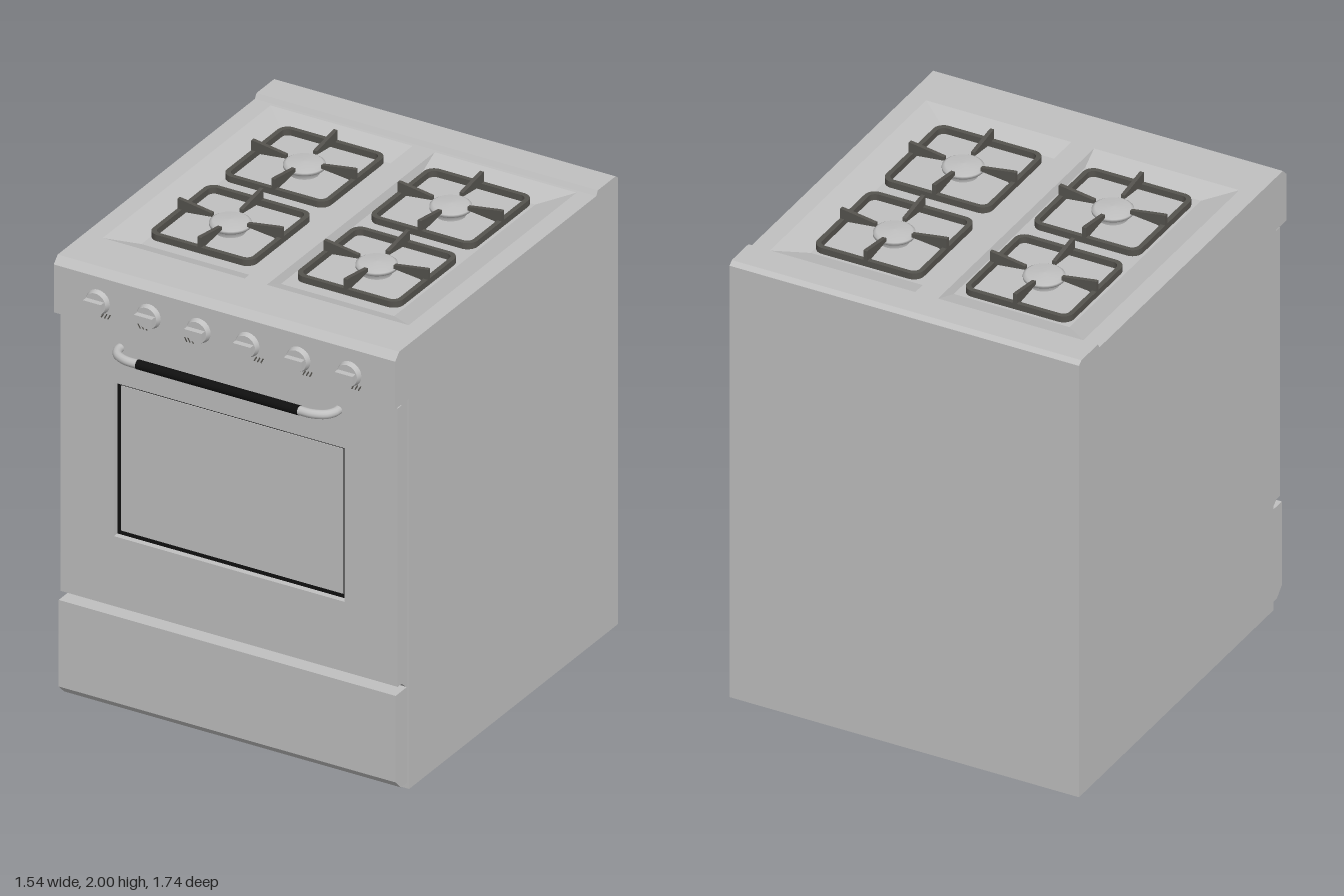
import * as THREE from 'three';

const mat = (name, color) => Object.assign(new THREE.MeshStandardMaterial({ color }), { name });

export function createModel() {
  const steel = mat('steel', 0xc0c0c0);
  const iron = mat('cast iron', 0x55534e);
  const black = mat('black', 0x101010);
  const root = new THREE.Group();
  root.name = 'stove';

  const add = (name, geo, material, x = 0, y = 0, z = 0, parent = root) => {
    const m = new THREE.Mesh(geo, material);
    m.name = name;
    m.position.set(x, y, z);
    parent.add(m);
    return m;
  };
  const shapeOf = pts => new THREE.Shape(pts.map(p => new THREE.Vector2(...p)));
  const rect = (x0, y0, x1, y1) => shapeOf([[x0, y0], [x1, y0], [x1, y1], [x0, y1]]);
  const extrude = (shape, depth) =>
    new THREE.ExtrudeGeometry(shape, { depth, bevelEnabled: false, curveSegments: 5 });
  // Side profile in (z, y), swept across the width
  const prism = (pts, width) =>
    extrude(shapeOf(pts), width).translate(0, 0, -width / 2).rotateY(-Math.PI / 2);
  // Plan shape in (x, z), hanging down from y = 0
  const slab = (shape, depth) => extrude(shape, depth).rotateX(Math.PI / 2);

  // Cabinet with overhanging control panel
  add('cabinet', prism([[-0.87, 0], [0.7, 0], [0.7, 1.715], [0.805, 1.715], [0.805, 1.915], [-0.87, 1.915]], 1.54), steel);
  add('frontEdge', prism([[0.58, 1.915], [0.805, 1.915], [0.805, 1.925], [0.775, 1.955], [0.58, 1.955]], 1.54), steel);
  add('backLedge', prism([[-0.87, 1.915], [-0.705, 1.915], [-0.705, 1.955], [-0.717, 1.975], [-0.85, 1.975], [-0.87, 1.96]], 1.54), steel);

  // Cooktop with two sunken pans
  const top = rect(-0.77, -0.705, 0.77, 0.58);
  for (const s of [-1, 1]) top.holes.push(rect(s * 0.05, -0.69, s * 0.69, 0.57));
  add('cooktop', slab(top, 0.04), steel, 0, 1.955);
  for (const s of [-1, 1]) {
    const outX = s > 0 ? [0.05, 0.69] : [-0.69, -0.05];
    const inX = s > 0 ? [0.06, 0.57] : [-0.57, -0.06];
    const outZ = [-0.69, 0.57], inZ = [-0.58, 0.48];
    let pan = new THREE.PlaneGeometry(1, 1, 3, 3).rotateX(-Math.PI / 2);
    const p = pan.attributes.position;
    for (let k = 0; k < p.count; k++) {
      const i = k % 4, j = Math.floor(k / 4);
      const rim = i % 3 === 0 || j % 3 === 0;
      const a = i > 1 ? 1 : 0, b = j > 1 ? 1 : 0;
      p.setXYZ(k, (rim ? outX : inX)[a], rim ? 1.955 : 1.92, (rim ? outZ : inZ)[b]);
    }
    pan = pan.toNonIndexed();
    pan.computeVertexNormals();
    add('pan', pan, steel);
  }

  // Burners and grates
  const cap = new THREE.LatheGeometry(
    [[0.06, 0], [0.06, 0.028], [0.083, 0.03], [0.083, 0.042], [0.07, 0.05], [0, 0.054]]
      .map(p => new THREE.Vector2(...p)), 28);
  const rounded = (h, r) => {
    const s = new THREE.Shape();
    for (let q = 0; q < 4; q++) {
      const a = q * Math.PI / 2, c = h - r;
      const cx = q === 0 || q === 3 ? c : -c, cy = q < 2 ? c : -c;
      s.absarc(cx, cy, r, a, a + Math.PI / 2);
    }
    s.closePath();
    return s;
  };
  const ring = rounded(0.235, 0.045);
  ring.holes.push(rounded(0.215, 0.028));
  const ringGeo = slab(ring, 0.027);
  const fingerGeo = prism([[0.235, 1.93], [0.235, 2], [0.225, 2], [0.08, 1.978], [0.08, 1.963], [0.2, 1.95]], 0.017);
  for (const x of [-0.33, 0.33]) for (const z of [-0.345, 0.21]) {
    add('burner', cap, steel, x, 1.918, z);
    const grate = new THREE.Group();
    grate.name = 'grate';
    grate.position.set(x, 0, z);
    root.add(grate);
    add('grateFrame', ringGeo, iron, 0, 1.957, 0, grate);
    for (let k = 0; k < 4; k++)
      add('grateFinger', fingerGeo, iron, 0, 0, 0, grate).rotation.y = k * Math.PI / 2;
  }

  // Oven door: backing, front panel with window opening, recessed glass
  add('doorBacking', prism([[0.7, 0.448], [0.705, 0.448], [0.739, 0.477], [0.739, 1.705], [0.7, 1.705]], 1.52), steel);
  const panel = rect(-0.76, 0.478, 0.76, 1.7);
  panel.holes.push(rect(-0.52, 0.785, 0.52, 1.46));
  add('doorPanel', extrude(panel, 0.031), steel, 0, 0, 0.739);
  add('windowSeal', new THREE.BoxGeometry(1.04, 0.675, 0.006), black, 0, 1.1225, 0.741);
  add('windowPane', new THREE.BoxGeometry(1.002, 0.637, 0.006), steel, 0, 1.1225, 0.744);

  // Storage drawer
  add('drawer', prism([[0.7, 0.025], [0.745, 0.025], [0.785, 0.065], [0.785, 0.445], [0.7, 0.445]], 1.52), steel);

  // Door handle: black grip with curved steel ends
  add('handleGrip', new THREE.CylinderGeometry(0.02, 0.02, 0.73, 16).rotateZ(Math.PI / 2), black, 0, 1.62, 0.85);
  for (const s of [-1, 1]) {
    const curve = new THREE.CatmullRomCurve3(
      [[0.36, 0.85], [0.42, 0.848], [0.47, 0.825], [0.49, 0.79], [0.492, 0.765]]
        .map(([x, z]) => new THREE.Vector3(s * x, 1.62, z)));
    add('handleEnd', new THREE.TubeGeometry(curve, 14, 0.0185, 12), steel);
  }

  // Control knobs with dial marks on the panel
  const knobBase = new THREE.CylinderGeometry(0.046, 0.053, 0.022, 28).rotateX(Math.PI / 2);
  const knobGrip = new THREE.BoxGeometry(0.08, 0.034, 0.03);
  const tick = new THREE.BoxGeometry(0.005, 0.024, 0.002);
  const knobs = [[-0.57, 0.035], [-0.34, -0.03], [-0.115, -0.045], [0.105, 0.05], [0.335, 0.04], [0.565, 0.03]];
  for (const [x, dx] of knobs) {
    add('knobBase', knobBase, steel, x, 1.817, 0.816);
    add('knobGrip', knobGrip, steel, x, 1.817, 0.837);
    for (let k = -1; k <= 1; k++)
      add('dialMark', tick, iron, x + dx + k * 0.015, 1.763, 0.8055).rotation.z = Math.sign(dx) * -0.5;
  }
  return root;
}
